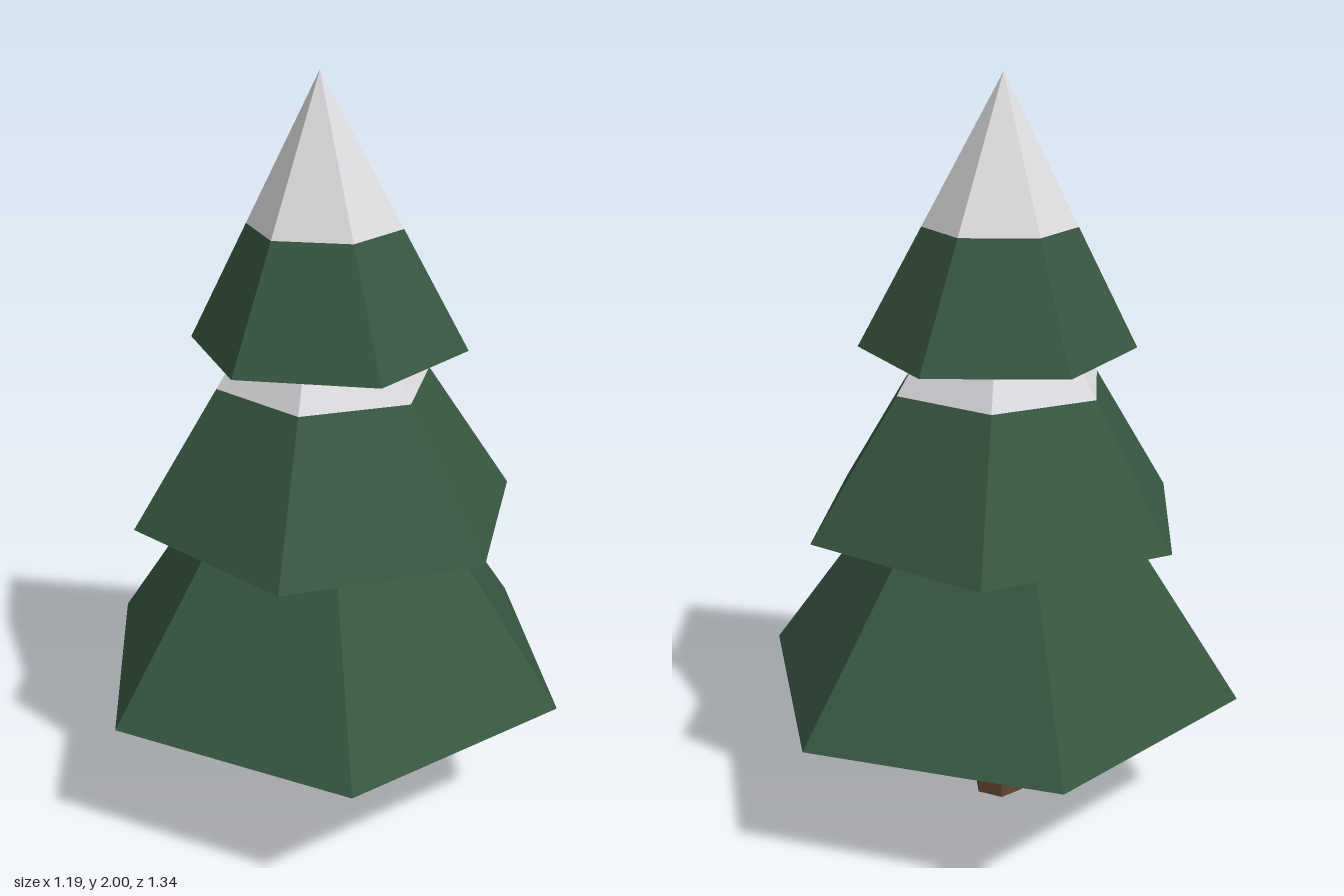
import * as THREE from 'three';

const SNOW_START = 0.45; // fraction of each tier's height where snow begins

const mat = (name, color) => {
  const m = new THREE.MeshStandardMaterial({ color, flatShading: true });
  m.name = name;
  return m;
};

// Six-sided frustum between two heights, leaning from centre a to centre b ([x, z])
function frustum(name, material, rBottom, rTop, y0, y1, turn, a, b, open = false) {
  const h = y1 - y0;
  const geo = new THREE.CylinderGeometry(rTop, rBottom, h, 6, 1, open, turn);
  geo.translate(0, h / 2, 0);
  const p = geo.attributes.position;
  for (let i = 0; i < p.count; i++) {
    const t = p.getY(i) / h;
    p.setX(i, p.getX(i) + a[0] + (b[0] - a[0]) * t);
    p.setZ(i, p.getZ(i) + a[1] + (b[1] - a[1]) * t);
  }
  geo.translate(0, y0, 0);
  geo.computeVertexNormals();
  const mesh = new THREE.Mesh(geo, material);
  mesh.name = name;
  return mesh;
}

export function createModel() {
  const tree = new THREE.Group();
  tree.name = 'pineTree';
  const bark = mat('bark brown', 0x5f4630);
  const needles = mat('needle green', 0x375640);
  const snow = mat('snow white', 0xdcdce0);

  // Trunk, tapering up into the lowest tier
  tree.add(frustum('trunk', bark, 0.073, 0.061, 0, 0.45, -0.08, [-0.006, 0.004], [-0.005, 0.004]));

  // Leaning cones, each green below and snow-capped above
  const tiers = [
    { name: 'lowerTier', r: 0.672, y0: 0.385, y1: 1.34, deg: 2.5, apex: [-0.02, -0.015] },
    { name: 'middleTier', r: 0.53, y0: 0.85, y1: 1.66, deg: 44.7, apex: [-0.015, -0.01] },
    { name: 'upperTier', r: 0.364, y0: 1.31, y1: 2, deg: 18, apex: [-0.02, 0.021] },
  ];
  for (const { name, r, y0, y1, deg, apex } of tiers) {
    const tier = new THREE.Group();
    tier.name = name;
    const turn = THREE.MathUtils.degToRad(deg);
    const ySnow = y0 + (y1 - y0) * SNOW_START;
    const rSnow = r * (1 - SNOW_START);
    const mid = apex.map((v) => v * SNOW_START);
    tier.add(
      frustum(name + 'Branches', needles, r, rSnow, y0, ySnow, turn, [0, 0], mid),
      frustum(name + 'Snow', snow, rSnow, 0, ySnow, y1, turn, mid, apex, true),
    );
    tree.add(tier);
  }
  return tree;
}
